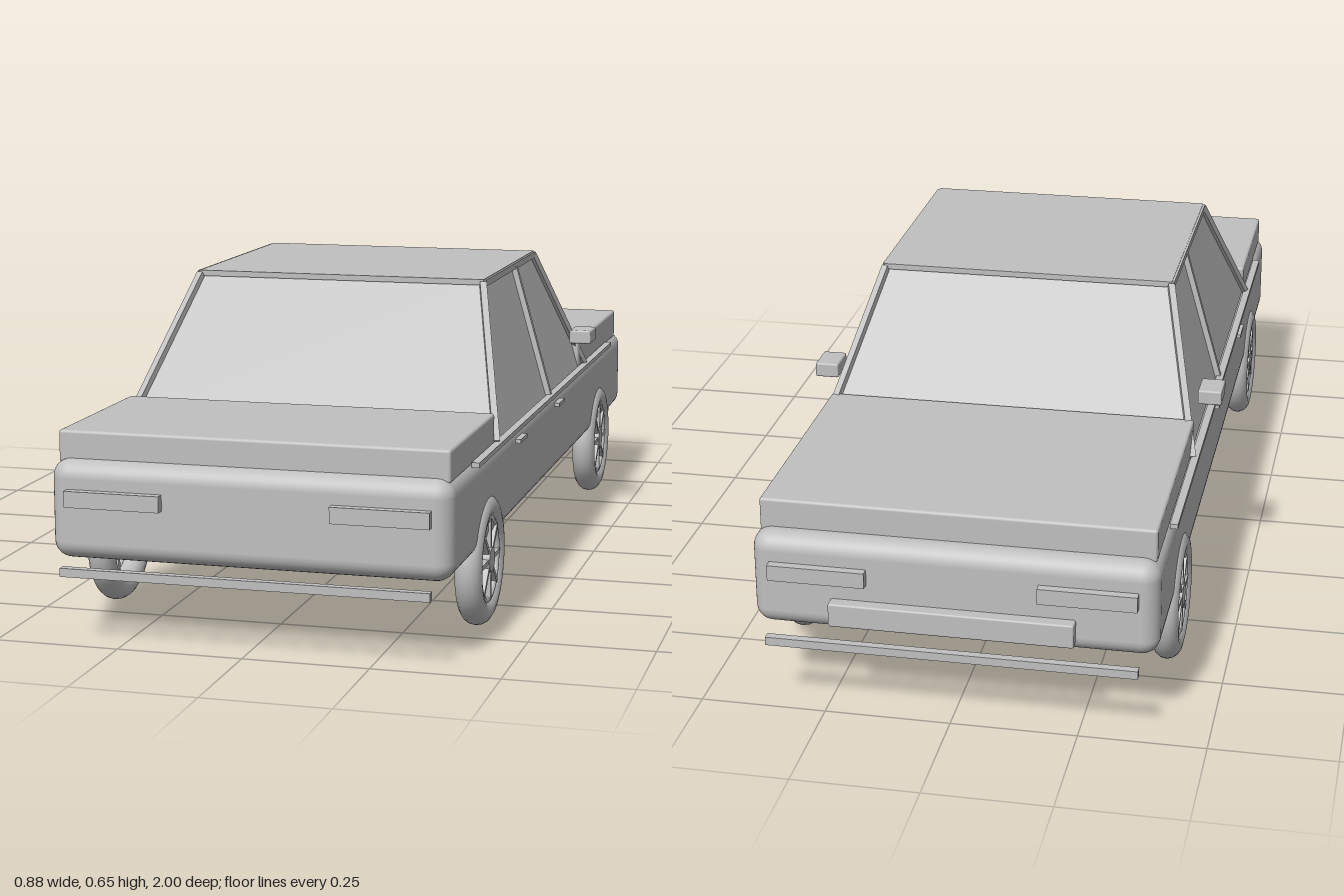
import * as THREE from 'three';
import { RoundedBoxGeometry } from 'three/addons/geometries/RoundedBoxGeometry.js';

const grey = new THREE.MeshStandardMaterial({ color: 0xc0c0c0 });
grey.name = 'plain grey';

export function createModel() {
  const car = new THREE.Group();
  car.name = 'car';

  const add = (name, geometry, x = 0, y = 0, z = 0, parent = car) => {
    const mesh = new THREE.Mesh(geometry, grey);
    mesh.name = name;
    mesh.position.set(x, y, z);
    parent.add(mesh);
    return mesh;
  };
  // Box given by its minimum and maximum on each axis
  const block = (name, x0, x1, y0, y1, z0, z1, r = 0) => {
    const size = [x1 - x0, y1 - y0, z1 - z0];
    const geometry = r ? new RoundedBoxGeometry(...size, 4, r) : new THREE.BoxGeometry(...size);
    return add(name, geometry, (x0 + x1) / 2, (y0 + y1) / 2, (z0 + z1) / 2);
  };
  // Square bar between two points
  const bar = (name, a, b, t = 0.014) => {
    const p = new THREE.Vector3(...a), q = new THREE.Vector3(...b);
    const mesh = add(name, new THREE.BoxGeometry(t, t, p.distanceTo(q)));
    mesh.position.copy(p).lerp(q, 0.5);
    mesh.lookAt(q);
  };

  // Body, bonnet and boot lid
  block('body', -0.398, 0.398, 0.16, 0.355, -0.967, 0.967, 0.035);
  block('bonnet', -0.388, 0.388, 0.345, 0.413, -0.925, -0.395, 0.006);
  block('bootLid', -0.388, 0.388, 0.345, 0.409, 0.55, 0.935, 0.006);

  // Cabin glass: a box narrowed towards the roof
  const yLow = 0.35, yTop = 0.638;
  const low = { x: 0.392, front: -0.447, rear: 0.552 };
  const top = { x: 0.31, front: -0.211, rear: 0.314 };
  const glass = new THREE.BoxGeometry(2, 2, 2);
  const pos = glass.attributes.position;
  for (let i = 0; i < pos.count; i++) {
    const up = pos.getY(i) > 0, e = up ? top : low;
    const inset = 0.005;
    pos.setXYZ(i, Math.sign(pos.getX(i)) * (e.x - inset), up ? yTop : yLow,
      pos.getZ(i) > 0 ? e.rear - inset : e.front + inset);
  }
  glass.computeVertexNormals();
  add('cabinGlass', glass);
  block('roof', -0.312, 0.312, 0.634, 0.646, -0.216, 0.318);

  for (const s of [-1, 1]) {
    // Window pillars and rails
    bar('windscreenPillar', [s * low.x, yLow, low.front], [s * top.x, yTop, top.front]);
    bar('rearPillar', [s * low.x, yLow, low.rear], [s * top.x, yTop, top.rear]);
    bar('centrePillar', [s * low.x, yLow, 0], [s * top.x, yTop, 0]);
    bar('roofRail', [s * top.x, yTop, top.front], [s * top.x, yTop, top.rear]);

    // Side trim, door handles and mirrors
    const side = (name, x0, x1, ...rest) =>
      block(name, Math.min(s * x0, s * x1), Math.max(s * x0, s * x1), ...rest);
    side('sideTrim', 0.39, 0.406, 0.343, 0.353, -0.77, 0.77);
    for (const z of [-0.11, 0.32]) side('doorHandle', 0.395, 0.409, 0.317, 0.325, z, z + 0.068);
    side('mirror', 0.388, 0.438, 0.425, 0.456, -0.343, -0.272, 0.004);

    // Lamps at both ends
    side('rearLamp', 0.168, 0.36, 0.268, 0.3, 0.96, 0.985);
    side('headlamp', 0.168, 0.36, 0.268, 0.3, -0.985, -0.96);
  }

  // Bumpers and front grille
  block('rearBumper', -0.365, 0.365, 0.135, 0.152, 0.983, 1);
  block('frontBumper', -0.365, 0.365, 0.135, 0.152, -1, -0.983);
  block('grille', -0.24, 0.24, 0.183, 0.232, -0.992, -0.96, 0.004);

  // Wheels: round tyre, rim ring, hub and spokes
  const tyre = new THREE.TorusGeometry(0.1045, 0.0275, 16, 48);
  const rim = new THREE.TorusGeometry(0.082, 0.006, 8, 40);
  const hub = new THREE.CylinderGeometry(0.025, 0.025, 0.05, 24).rotateX(Math.PI / 2);
  const spoke = new THREE.BoxGeometry(0.009, 0.068, 0.02).translate(0, 0.049, 0);
  for (const s of [-1, 1]) for (const z of [-0.637, 0.641]) {
    const wheel = new THREE.Group();
    wheel.name = 'wheel';
    wheel.position.set(s * 0.38, 0.132, z);
    wheel.rotation.y = s * Math.PI / 2;
    add('tyre', tyre, 0, 0, 0, wheel);
    add('rim', rim, 0, 0, 0.016, wheel);
    add('hub', hub, 0, 0, 0, wheel);
    for (let i = 0; i < 8; i++) {
      add('spoke', spoke, 0, 0, 0.013, wheel).rotation.z = i * Math.PI / 4;
    }
    car.add(wheel);
  }
  return car;
}
